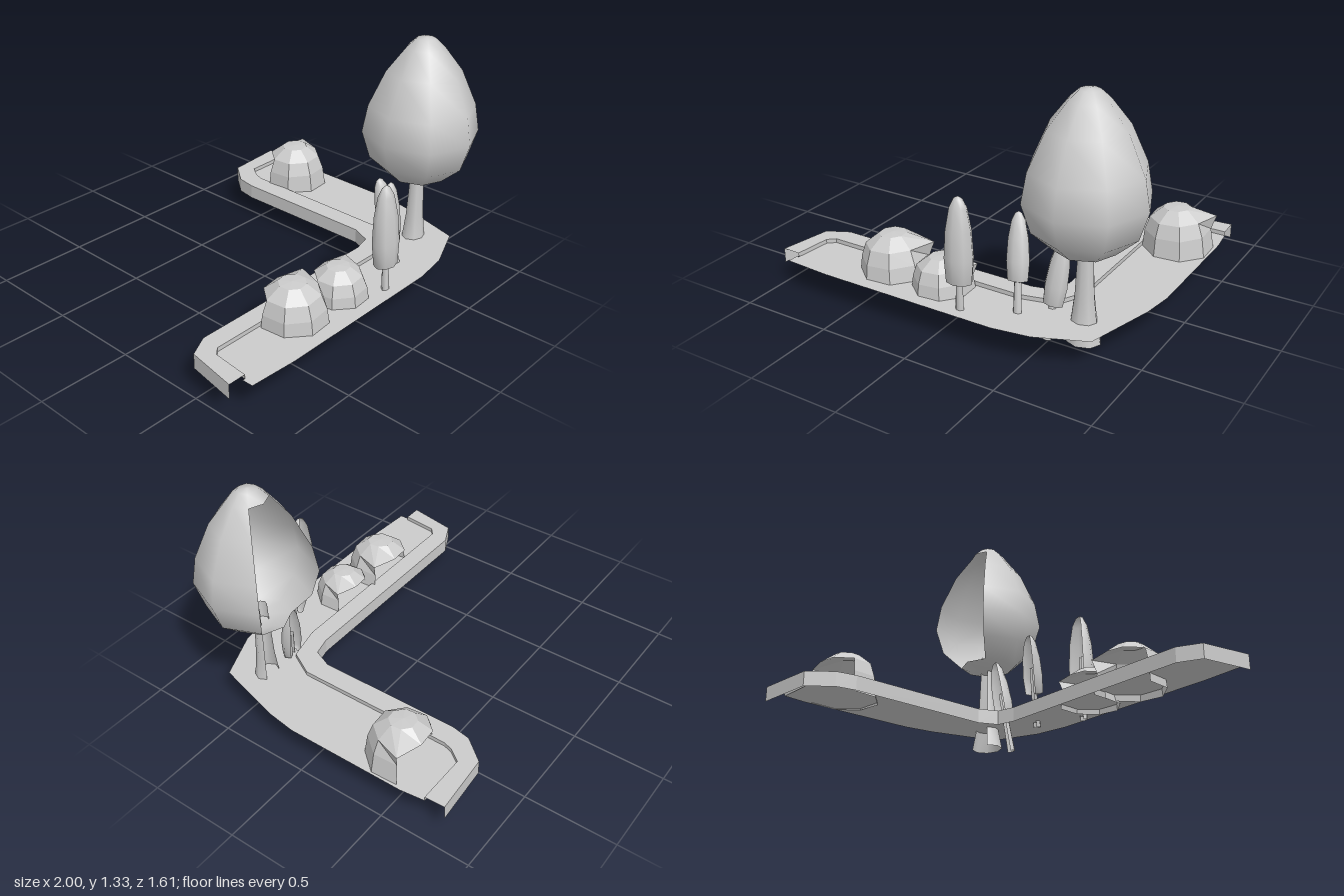
import * as THREE from 'three';

const material = (flatShading) => new THREE.MeshStandardMaterial({ color: 0xcccccc, side: THREE.DoubleSide, flatShading });
const flat = material(true);
const smooth = material(false);

function geometry(positions, index) {
  const g = new THREE.BufferGeometry();
  g.setAttribute('position', new THREE.Float32BufferAttribute(positions, 3));
  g.setIndex(index);
  g.computeVertexNormals();
  return g;
}

function add(parent, name, geo, mat) {
  const mesh = new THREE.Mesh(geo, mat);
  mesh.name = name;
  parent.add(mesh);
  return mesh;
}

// Rings [radius, height] from top to bottom; faces in rows firstOpen..lastOpen are
// left out for the segments listed in gap. tweak can scale single ring points.
function shell(rings, { sides = 8, phase = 0, gap = [], firstOpen = 0, lastOpen = 99, depth = 1, tweak = () => 1 }) {
  const pos = [], index = [];
  rings.forEach(([r, y], i) => {
    for (let j = 0; j < sides; j++) {
      const a = phase + (j / sides) * Math.PI * 2, s = r * tweak(i, j);
      pos.push(s * Math.cos(a), y, s * Math.sin(a) * depth);
    }
  });
  for (let i = 0; i < rings.length - 1; i++) {
    for (let j = 0; j < sides; j++) {
      if (gap.includes(j) && i >= firstOpen && i <= lastOpen) continue;
      const k = (j + 1) % sides;
      const a = i * sides + j, b = i * sides + k, c = a + sides, d = b + sides;
      if (rings[i][0] > 0) index.push(a, b, c);
      if (rings[i + 1][0] > 0) index.push(b, d, c);
    }
  }
  return geometry(pos, index);
}

// L-shaped bed: raised kerb along the back, flat soil in front of it
function bed() {
  const group = new THREE.Group();
  group.name = 'gardenBed';
  const outer = [[-1, 0.72], [-0.95, 0.44], [-0.83, 0.38], [0.33, 0.38], [0.43, 0.355], [0.475, 0.25],
    [0.47, -0.55], [0.49, -0.66], [0.59, -0.785], [0.92, -0.81]];
  const inner = [[-0.9, 0.72], [-0.88, 0.52], [-0.84, 0.485], [0.32, 0.485], [0.51, 0.44], [0.585, 0.3],
    [0.585, -0.58], [0.6, -0.63], [0.65, -0.7], [0.925, -0.7]];
  const pos = [], index = [];
  outer.forEach(([ox, oz], i) => {
    const [ix, iz] = inner[i];
    pos.push(ox, 0.11, oz, ox, 0.19, oz, ix, 0.19, iz, ix, 0.165, iz);
    if (i === outer.length - 1) return;
    for (let k = 0; k < 3; k++) {
      const a = i * 4 + k, b = a + 4;
      index.push(a, a + 1, b, b, a + 1, b + 1);
    }
  });
  add(group, 'kerb', geometry(pos, index), flat);

  const front = [[0.94, -0.57], [0.94, 0.1], [0.915, 0.27], [0.81, 0.65], [0.55, 0.76], [0.35, 0.79],
    [-0.65, 0.795], [-0.915, 0.78], [-0.915, 0.72]];
  const shape = new THREE.Shape([...inner, ...front].map(([x, z]) => new THREE.Vector2(x, -z)));
  const soil = add(group, 'soil', new THREE.ShapeGeometry(shape).rotateX(-Math.PI / 2), flat);
  soil.position.y = 0.167;
  return group;
}

// Faceted shrub, lower walls missing at the back, one corner flared
function shrub(name, x, y, z, size) {
  const rings = [[0, 0.25], [0.072, 0.245], [0.145, 0.19], [0.172, 0.115], [0.187, 0]];
  const geo = shell(rings, {
    phase: THREE.MathUtils.degToRad(-28), gap: [5, 6, 7], firstOpen: 2,
    tweak: (i, j) => (j === 0 && i === 2 ? 1.45 : j === 0 && i > 2 ? 1.05 : 1),
  });
  const mesh = new THREE.Mesh(geo, flat);
  mesh.name = name;
  mesh.position.set(x, y, z);
  mesh.scale.set(size, 1, size);
  mesh.rotation.z = 0.04;
  return mesh;
}

// Large tree: smooth egg-shaped crown and flared trunk, both open at the back
function largeTree() {
  const group = new THREE.Group();
  group.name = 'largeTree';
  const crown = [[0, 1.325], [0.05, 1.317], [0.1, 1.27], [0.2, 1.14], [0.285, 0.95], [0.312, 0.8],
    [0.265, 0.65], [0.155, 0.55], [0.07, 0.517], [0, 0.515]];
  add(group, 'crown', shell(crown, { gap: [5, 6], firstOpen: 2, lastOpen: 6 }), smooth);
  const trunk = [[0.038, 0.62], [0.042, 0.5], [0.052, 0.3], [0.068, 0.17], [0.092, 0.055]];
  add(group, 'trunk', shell(trunk, { gap: [5, 6], depth: 0.85 }), smooth);
  group.position.set(0.685, 0, 0.49);
  return group;
}

// Slim tree standing on base and leaning to tip, crown starting at the given height
function slimTree(name, base, tip, crownStart, radius) {
  const group = new THREE.Group();
  group.name = name;
  const from = new THREE.Vector3(...base), axis = new THREE.Vector3(...tip).sub(from);
  const h = axis.length(), c = h - crownStart;
  const crown = [[0, 1], [0.3, 0.97], [0.6, 0.87], [0.88, 0.62], [1, 0.3], [0.88, 0.02], [0.5, 0]]
    .map(([r, t]) => [r * radius, crownStart + t * c]);
  add(group, 'crown', shell(crown, { gap: [5, 6], depth: 0.75 }), smooth);
  const trunk = [[0.016, crownStart + c * 0.45], [0.02, crownStart], [0.025, 0]];
  add(group, 'trunk', shell(trunk, { sides: 6, gap: [4], depth: 0.75 }), smooth);
  group.position.copy(from);
  group.quaternion.setFromUnitVectors(new THREE.Vector3(0, 1, 0), axis.normalize());
  return group;
}

export function createModel() {
  const model = new THREE.Group();
  model.name = 'treeBed';
  model.add(
    bed(),
    shrub('shrubLeftEnd', -0.385, 0.128, 0.55, 1),
    shrub('shrubMiddle', -0.07, 0.135, 0.575, 0.86),
    shrub('shrubBack', 0.75, 0.155, -0.445, 1),
    largeTree(),
    slimTree('slimTreeTall', [0.13, 0.14, 0.72], [0.118, 0.755, 0.7], 0.165, 0.081),
    slimTree('slimTreeMiddle', [0.385, 0.135, 0.605], [0.328, 0.65, 0.5], 0.185, 0.064),
    slimTree('slimTreeShort', [0.487, 0, 0.5], [0.537, 0.525, 0.425], 0.185, 0.062),
  );
  // Slimmer shrub in the middle is also lower
  model.getObjectByName('shrubMiddle').scale.y = 0.82;
  return model;
}
